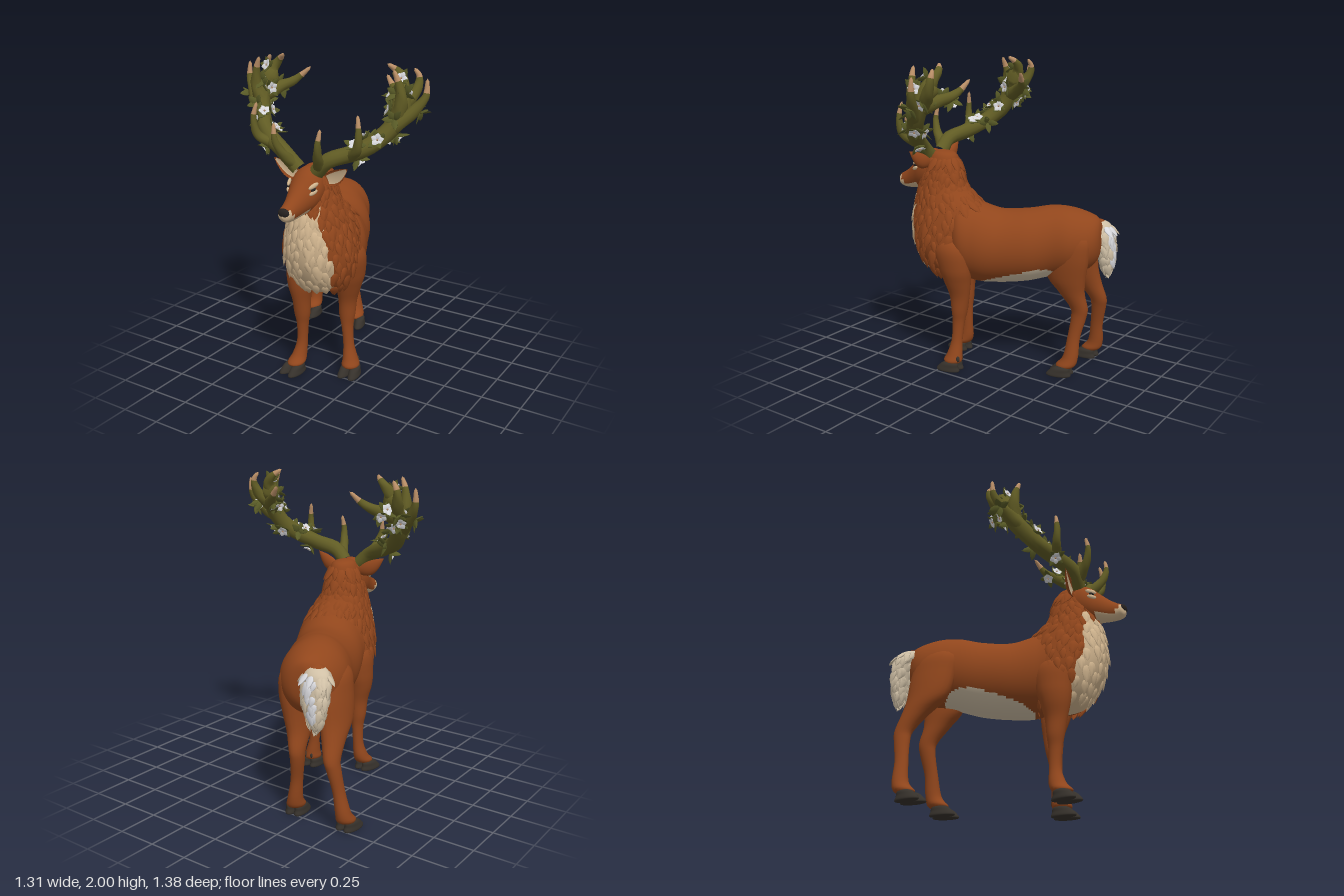
import * as THREE from 'three';
import { mergeGeometries } from 'three/addons/utils/BufferGeometryUtils.js';

const V = (x, y, z) => new THREE.Vector3(x, y, z);
const mat = (name, color) => Object.assign(new THREE.MeshStandardMaterial({ color }), { name });
const TAU = Math.PI * 2;

export function createModel() {
  const root = new THREE.Group();
  root.name = 'stag';
  const coat = mat('russet coat', 0x91461c), cream = mat('cream fur', 0xd0b48e), paleFur = mat('pale fur', 0xd0c0a6);
  const moss = mat('mossy antler', 0x615c24), tan = mat('antler tip', 0xb98e66), leafGreen = mat('leaf green', 0x585a26);
  const petalWhite = mat('petal white', 0xd8d8dc), horn = mat('dark hoof', 0x36312b), black = mat('nose black', 0x262220);

  let seed = 11;
  const rnd = () => (seed = (seed * 16807) % 2147483647) / 2147483647;
  const jit = (k) => (rnd() - 0.5) * 2 * k;

  const add = (name, geo, material, parent = root) => {
    const m = new THREE.Mesh(geo, material);
    m.name = name;
    parent.add(m);
    return m;
  };

  // Smooth interpolation through a list of cross-sections
  const at = (S, t) => {
    const f = t * (S.length - 1), i = Math.min(Math.floor(f), S.length - 2), w = f - i;
    const g = (k) => S[Math.max(0, Math.min(S.length - 1, k))];
    return S[i].map((_, k) => {
      const [a, b, c, d] = [g(i - 1)[k], g(i)[k], g(i + 1)[k], g(i + 2)[k]];
      return b + 0.5 * w * (c - a + w * (2 * a - 5 * b + 4 * c - d + w * (3 * (b - c) + d - a)));
    });
  };

  // Skin over closed rings; pick(t, a) chooses the material of each quad
  const loft = (ring, rows, cols, pick = () => 0, flip = false) => {
    const pos = [], lists = [[], []];
    for (let i = 0; i <= rows; i++)
      for (let j = 0; j < cols; j++) pos.push(...ring(i / rows, (j / cols) * TAU).toArray());
    for (let i = 0; i < rows; i++)
      for (let j = 0; j < cols; j++) {
        const a = i * cols + j, b = i * cols + ((j + 1) % cols), c = b + cols, d = a + cols;
        const q = flip ? [a, c, b, a, d, c] : [a, b, c, a, c, d];
        lists[pick((i + 0.5) / rows, ((j + 0.5) / cols) * TAU)].push(...q);
      }
    const g = new THREE.BufferGeometry();
    g.setAttribute('position', new THREE.Float32BufferAttribute(pos, 3));
    g.setIndex([...lists[0], ...lists[1]]);
    g.addGroup(0, lists[0].length, 0);
    g.addGroup(lists[0].length, lists[1].length, 1);
    g.computeVertexNormals();
    return g;
  };
  // Horizontal sections [x, y, z, halfX, halfZ], bottom to top
  const upright = (S) => (t, a) => {
    const [x, y, z, hx, hz] = at(S, t);
    return V(x + Math.max(0, hx) * Math.sin(a), y, z + Math.max(0, hz) * Math.cos(a));
  };
  // Sections along the body [x, z, top, bottom, halfWidth], back to front
  const lengthwise = (S, lx, lz) => (t, a) => {
    const [x, z, top, bot, w] = at(S, t), s = -Math.sin(a) * Math.max(0, w);
    return V(x + lx * s, (top + bot) / 2 + ((top - bot) / 2) * Math.cos(a), z + lz * s);
  };

  // Pointed lock of hair, also used for leaves and petals
  const lock = new THREE.LatheGeometry([[0, 0], [0.34, 0.15], [0.5, 0.4], [0.32, 0.75], [0, 1]].map((p) => new THREE.Vector2(...p)), 6);
  const place = (list, p, dir, n, w, l, th) => {
    const y = dir.clone().normalize(), x = y.clone().cross(n).normalize(), z = x.clone().cross(y);
    const m = new THREE.Matrix4().makeBasis(x.multiplyScalar(w), y.multiplyScalar(l), z.multiplyScalar(th)).setPosition(p);
    list.push(lock.clone().applyMatrix4(m));
  };
  const fur = (ring, t0, t1, rows, count, w, l, th, pick, lists) => {
    for (let r = 0; r < rows; r++)
      for (let j = 0; j < count; j++) {
        const t = t0 + ((t1 - t0) * (r + jit(0.3))) / (rows - 1), a = ((j + (r % 2) / 2 + jit(0.25)) / count) * TAU;
        const p = ring(t, a), da = ring(t, a + 0.02).sub(p), dt = ring(t + 0.01, a).sub(p);
        const n = da.clone().cross(dt).normalize(), k = 0.8 + rnd() * 0.4;
        const dir = dt.normalize().negate().addScaledVector(n, 0.07).addScaledVector(da.normalize(), jit(0.3));
        place(lists[pick(t, a)], p.addScaledVector(n, -0.004), dir, n, w * k, l * k, th);
      }
  };

  // Torso with a pale belly
  const torso = lengthwise([
    [-0.365, -0.615, 0.96, 0.85, 0], [-0.35, -0.595, 1.02, 0.76, 0.1], [-0.325, -0.535, 1.055, 0.69, 0.165], [-0.28, -0.43, 1.085, 0.65, 0.2],
    [-0.23, -0.32, 1.09, 0.63, 0.2], [-0.155, -0.2, 1.07, 0.6, 0.21], [-0.085, -0.04, 1.06, 0.58, 0.215], [-0.015, 0.1, 1.11, 0.585, 0.22],
    [0.03, 0.22, 1.14, 0.64, 0.2], [0.04, 0.34, 0.95, 0.75, 0]], 0.9, -0.43);
  const belly = (t, a) => {
    const u = (t - 0.37) / 0.4;
    return u > 0 && u < 1 && Math.abs(a - Math.PI) < (1.12 - 0.35 * u) * Math.pow(Math.sin(Math.PI * u), 0.35) ? 1 : 0;
  };
  add('torso', loft(torso, 100, 90, belly), [coat, paleFur]);

  // Neck and chest with layered locks
  const neck = upright([
    [0.02, 0.575, 0.28, 0, 0], [0.02, 0.65, 0.255, 0.16, 0.16], [0.025, 0.8, 0.28, 0.222, 0.228], [0.03, 0.95, 0.285, 0.212, 0.255],
    [0.03, 1.08, 0.29, 0.178, 0.238], [0.03, 1.2, 0.33, 0.136, 0.163], [0.03, 1.32, 0.33, 0.1, 0.118], [0.03, 1.4, 0.33, 0.066, 0.082], [0.03, 1.42, 0.34, 0, 0]]);
  const bib = (t, a) => (t < 0.64 && Math.min(a, TAU - a) < 0.98 - 0.42 * t ? 1 : 0);
  add('neck', loft(neck, 48, 48, bib), [coat, cream]);
  const locks = [[], []];
  fur(neck, 0.16, 0.83, 15, 20, 0.056, 0.1, 0.02, bib, locks);
  add('mane', mergeGeometries(locks[0]), coat);
  add('chestFur', mergeGeometries(locks[1]), cream);

  // Head
  const head = lengthwise([
    [0.03, 0.28, 1.34, 1.24, 0], [0.03, 0.33, 1.39, 1.19, 0.075], [0.03, 0.41, 1.42, 1.165, 0.1], [0.03, 0.47, 1.395, 1.155, 0.098], [0.03, 0.53, 1.34, 1.15, 0.076],
    [0.03, 0.59, 1.285, 1.143, 0.056], [0.03, 0.64, 1.25, 1.143, 0.047], [0.03, 0.672, 1.232, 1.155, 0.04], [0.03, 0.688, 1.2, 1.18, 0]], 1, 0);
  const muzzle = (t, a) => {
    const d = Math.abs(a - Math.PI);
    return (t > 0.45 && d < 0.95) || (t > 0.72 && d < 1.5) || (t > 0.8 && d < 2.3) ? 1 : 0;
  };
  add('head', loft(head, 40, 32, muzzle), [coat, cream]);
  const ball = new THREE.SphereGeometry(1, 16, 12);
  const blob = (name, m, x, y, z, sx, sy, sz, ry = 0, rx = 0) => {
    const b = add(name, ball, m);
    b.position.set(x, y, z);
    b.scale.set(sx, sy, sz);
    b.rotation.set(rx, ry, 0, 'YXZ');
  };
  blob('nose', black, 0.03, 1.207, 0.672, 0.038, 0.027, 0.02);

  for (const s of [1, -1]) {
    blob('browPatch', cream, 0.03 + s * 0.084, 1.332, 0.495, 0.01, 0.014, 0.036, s * -0.38, 0.35);
    blob('underEyePatch', cream, 0.03 + s * 0.086, 1.294, 0.5, 0.01, 0.013, 0.03, s * -0.38, 0.35);
    blob('eye', black, 0.03 + s * 0.086, 1.312, 0.5, 0.009, 0.009, 0.017, s * -0.38, 0.35);
    // Cupped ear with a pale inside
    const ear = (t, a) => {
      const h = 0.046 * Math.pow(Math.sin(Math.PI * Math.min(1, 0.1 + t * 0.9)), 0.9), c = Math.cos(a) * h, q = Math.sin(a);
      return V(0.03 + s * (0.07 + 0.185 * t - 0.42 * c), 1.335 + 0.1 * t + 0.9 * c - 0.018 * Math.sin(t * Math.PI), 0.385 + 0.02 * t + (q > 0 ? -0.014 : 0.03) * q * (h / 0.046));
    };
    add(s > 0 ? 'leftEar' : 'rightEar', loft(ear, 16, 24, (t, a) => (t > 0.2 && t < 0.93 && Math.sin(a) > 0.62 ? 1 : 0), s < 0), [coat, cream]);
  }

  // Legs: shared heights and thicknesses, one path of [x, z] each
  const toe = loft(upright([[0, 0, 0, 0, 0], [0, 0, 0, 0.034, 0.078], [0, 0.03, -0.006, 0.033, 0.068], [0, 0.056, -0.02, 0.027, 0.048], [0, 0.07, -0.03, 0, 0]]), 24, 18);
  const leg = (name, path, girth, yaw) => {
    const g = new THREE.Group();
    g.name = name;
    root.add(g);
    add('limb', loft(upright(girth.map(([y, hx, hz], i) => [path[i][0], y, path[i][1], hx, hz])), 44, 20), coat, g);
    const hoof = new THREE.Group();
    hoof.name = 'hoof';
    hoof.position.set(path[0][0], 0, path[0][1]);
    hoof.rotation.y = yaw;
    g.add(hoof);
    for (const s of [1, -1]) {
      const t = add('toe', toe, horn, hoof);
      t.position.set(s * 0.032, 0, 0.02);
      t.rotation.y = s * 0.08;
      const d = add('dewclaw', ball, horn, hoof);
      d.position.set(s * 0.022, 0.085, -0.05);
      d.scale.set(0.012, 0.02, 0.013);
    }
  };
  const fore = [[0.035, 0, 0], [0.06, 0.054, 0.06], [0.11, 0.046, 0.052], [0.2, 0.034, 0.037], [0.32, 0.037, 0.041], [0.4, 0.051, 0.053],
    [0.5, 0.056, 0.068], [0.6, 0.076, 0.092], [0.7, 0.084, 0.112], [0.85, 0.08, 0.12], [0.98, 0, 0]];
  const hind = [[0.035, 0, 0], [0.06, 0.053, 0.062], [0.12, 0.045, 0.05], [0.25, 0.035, 0.042], [0.38, 0.04, 0.05], [0.45, 0.046, 0.06],
    [0.55, 0.062, 0.09], [0.65, 0.078, 0.135], [0.8, 0.084, 0.15], [0.93, 0.07, 0.13], [1.04, 0, 0]];
  leg('leftForeleg', [[0.17, 0.17], [0.168, 0.172], [0.158, 0.162], [0.142, 0.155], [0.13, 0.15], [0.125, 0.145], [0.128, 0.142], [0.14, 0.15], [0.16, 0.16], [0.165, 0.19], [0.12, 0.22]], fore, 0.1);
  leg('rightForeleg', [[-0.155, 0.33], [-0.15, 0.325], [-0.145, 0.29], [-0.135, 0.272], [-0.13, 0.272], [-0.13, 0.275], [-0.13, 0.28], [-0.135, 0.28], [-0.135, 0.27], [-0.12, 0.26], [-0.06, 0.25]], fore, -0.15);
  leg('leftHindLeg', [[-0.17, -0.46], [-0.18, -0.47], [-0.195, -0.5], [-0.215, -0.51], [-0.235, -0.53], [-0.235, -0.53], [-0.215, -0.485], [-0.2, -0.45], [-0.19, -0.46], [-0.2, -0.47], [-0.24, -0.46]], hind, 0.2);
  leg('rightHindLeg', [[-0.535, -0.45], [-0.54, -0.465], [-0.54, -0.5], [-0.52, -0.515], [-0.5, -0.535], [-0.485, -0.535], [-0.46, -0.48], [-0.435, -0.42], [-0.41, -0.4], [-0.39, -0.39], [-0.33, -0.41]], hind, 0);

  // Tail, whitest down the middle of its back
  const tail = upright([[-0.43, 0.65, -0.625, 0, 0], [-0.43, 0.7, -0.622, 0.05, 0.034], [-0.425, 0.8, -0.617, 0.08, 0.05], [-0.42, 0.9, -0.6, 0.086, 0.056], [-0.41, 0.97, -0.575, 0.072, 0.056], [-0.385, 1.015, -0.545, 0, 0]]);
  add('tail', loft(tail, 24, 20, (t) => (t > 0.86 ? 1 : 0)), [paleFur, coat]);
  const tailLocks = [[], []];
  fur(tail, 0.18, 0.78, 8, 11, 0.05, 0.08, 0.018, (t, a) => (Math.abs(a - Math.PI) < 0.5 && t > 0.3 ? 1 : 0), tailLocks);
  add('tailFur', mergeGeometries(tailLocks[0]), paleFur);
  add('tailWhiteFur', mergeGeometries(tailLocks[1]), petalWhite);

  // Antlers
  const girthAt = (b, t) => b.r0 + (b.r1 - b.r0) * Math.pow(t, 1.3);
  const tube = (b, tip) => {
    const rows = 22, F = b.curve.computeFrenetFrames(rows);
    const ring = (t, a) => {
      const i = Math.round(t * rows), r = t > 0.999 ? 0 : girthAt(b, t) * (1 + 0.06 * Math.sin(3 * a + 17 * t));
      return b.curve.getPointAt(t).addScaledVector(F.normals[i], r * Math.cos(a)).addScaledVector(F.binormals[i], r * Math.sin(a));
    };
    return loft(ring, rows, 12, (t) => (t > tip ? 1 : 0));
  };
  const beamPath = [[0.08, 1.39, 0.41], [0.15, 1.46, 0.41], [0.27, 1.51, 0.35], [0.38, 1.57, 0.275], [0.45, 1.65, 0.21], [0.48, 1.75, 0.155], [0.46, 1.84, 0.11], [0.42, 1.89, 0.08]];
  const tines = [
    [[0.11, 1.43, 0.43], [0.14, 1.5, 0.49], [0.16, 1.58, 0.52], [0.17, 1.67, 0.51]],
    [[0.26, 1.49, 0.35], [0.34, 1.55, 0.4], [0.36, 1.65, 0.415], [0.345, 1.75, 0.4]],
    [[0.46, 1.66, 0.21], [0.55, 1.74, 0.15], [0.61, 1.83, 0.11], [0.615, 1.93, 0.1]],
    [[0.46, 1.82, 0.12], [0.45, 1.9, 0.08], [0.41, 1.95, 0.07], [0.36, 1.99, 0.1]],
    [[0.47, 1.74, 0.15], [0.42, 1.78, 0.06], [0.35, 1.82, -0.01], [0.275, 1.9, -0.055]],
    [[0.47, 1.7, 0.18], [0.5, 1.8, 0.19], [0.49, 1.9, 0.2], [0.46, 1.98, 0.21]],
    [[0.47, 1.76, 0.13], [0.52, 1.84, 0.06], [0.53, 1.92, 0.03], [0.5, 1.97, 0.04]]];
  for (const s of [1, -1]) {
    const g = new THREE.Group();
    g.name = s > 0 ? 'leftAntler' : 'rightAntler';
    root.add(g);
    const branch = (P, r0, r1) => ({ r0, r1, curve: new THREE.CatmullRomCurve3(P.map(([x, y, z]) => V(s * x + (s < 0 ? 0.05 * Math.max(0, 1 - x / 0.35) : 0), y, z))) });
    const beam = branch(beamPath, 0.045, 0.056), branches = tines.map((P, i) => branch(P, i < 2 ? 0.034 : 0.046, 0.008));
    add('beam', tube(beam, 2), [moss, tan], g);
    branches.forEach((b) => add('tine', tube(b, 0.78), [moss, tan], g));

    // Rosettes of leaves, most with a blossom, along the beam and upper tines
    const leaves = [], petals = [], hearts = [];
    for (let i = 0; i < 20; i++) {
      const onBeam = i < 12, b = onBeam ? beam : branches[2 + (i % 5)];
      const t = onBeam ? 0.32 + (i / 12) * 0.62 + jit(0.02) : 0.2 + rnd() * 0.35, T = b.curve.getTangentAt(t);
      const n = V(jit(1), jit(1), jit(1)).cross(T).normalize(), side = n.clone().cross(T);
      const p = b.curve.getPointAt(t).addScaledVector(n, girthAt(b, t) * 0.95);
      const spin = rnd() * TAU, radial = (a, lift) => T.clone().multiplyScalar(Math.cos(a)).addScaledVector(side, Math.sin(a)).addScaledVector(n, lift);
      for (let k = 0; k < 4; k++) place(leaves, p, radial(spin + k * 1.57 + jit(0.4), 0.35 + rnd() * 0.6), n, 0.046, 0.06 + rnd() * 0.025, 0.012);
      if (i % 4 === 3) continue;
      p.addScaledVector(n, 0.018);
      for (let k = 0; k < 5; k++) place(petals, p, radial(spin + (k / 5) * TAU, 0.3), n, 0.044, 0.04, 0.009);
      hearts.push(new THREE.SphereGeometry(0.006, 6, 5).translate(p.x + n.x * 0.006, p.y + n.y * 0.006, p.z + n.z * 0.006));
    }
    add('leaves', mergeGeometries(leaves), leafGreen, g);
    add('blossoms', mergeGeometries(petals), petalWhite, g);
    add('blossomCentres', mergeGeometries(hearts), tan, g);
  }
  return root;
}
